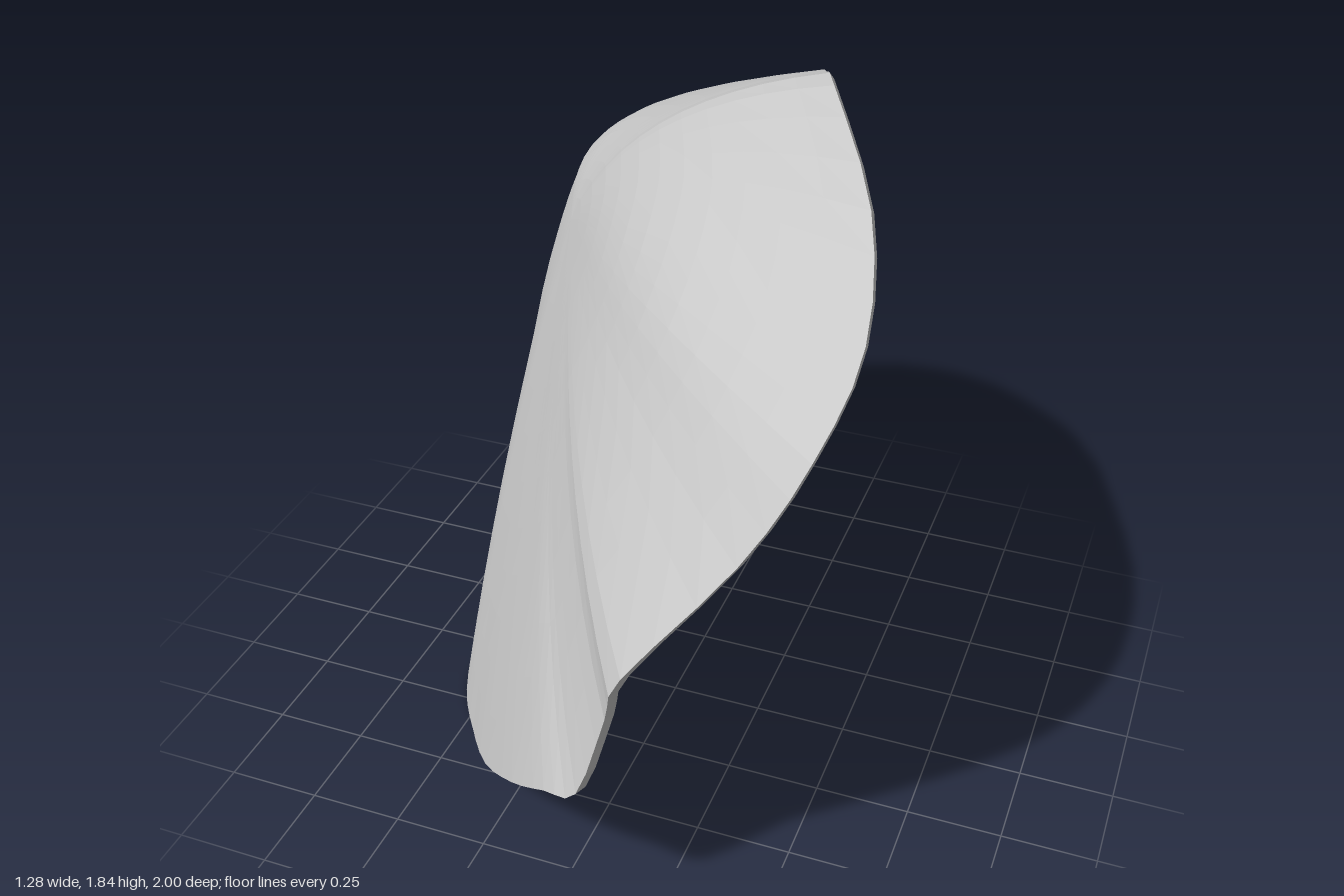
import * as THREE from 'three';

// Rim of the shell, clockwise from the top: x, y, z and how late the wall bends down to it
const RIM = [
  [0.35, 1.84, -0.12, 2.1], [0.56, 1.74, 0.30, 2.4], [0.64, 1.58, 0.60, 2.8],
  [0.60, 1.42, 0.82, 3.0], [0.48, 1.20, 0.92, 3.0], [0.25, 0.90, 1.00, 3.0],
  [0.20, 0.75, 0.975, 3.0], [0.13, 0.52, 0.99, 2.8], [0.02, 0.44, 0.93, 2.5],
  [-0.13, 0.30, 0.80, 2.2], [-0.31, 0.13, 0.60, 2.1], [-0.45, 0.04, 0.40, 2.1],
  [-0.56, 0.00, 0.22, 2.1], [-0.61, 0.07, 0.05, 2.1], [-0.635, 0.25, -0.15, 2.1],
  [-0.64, 0.58, -0.40, 2.1], [-0.64, 0.87, -0.60, 2.2], [-0.58, 1.12, -0.80, 2.4],
  [-0.47, 1.25, -0.95, 2.5], [-0.40, 1.31, -1.00, 2.5], [-0.20, 1.43, -0.95, 2.3],
  [0.00, 1.56, -0.80, 2.1], [0.20, 1.72, -0.50, 2.0], [0.28, 1.80, -0.30, 2.0],
];
const APEX = new THREE.Vector3(-0.42, 1.28, -0.31);
const OUTWARD = new THREE.Vector3(-0.74, 0.64, 0.2).normalize();
const INWARD = new THREE.Vector3(0.81, -0.466, -0.36).normalize();
const TILT = new THREE.Vector3(0.11, 0.1, -0.1); // slope of the wall at the apex
const THICKNESS = 0.03;
const AROUND = 72;
const RINGS = 12;

function buildShell() {
  const loop = (pts) => new THREE.CatmullRomCurve3(pts, true, 'catmullrom', 0.5);
  const rim = loop(RIM.map(([x, y, z]) => new THREE.Vector3(x, y, z)));
  const roundness = loop(RIM.map((p) => new THREE.Vector3(p[3], 0, 0)));

  // Rings run from the apex to the rim outside, then back to the apex inside
  const rings = [];
  for (let j = 0; j <= RINGS; j++) rings.push({ t: j / RINGS, inset: 0 });
  for (let j = RINGS; j >= 0; j--) rings.push({ t: (j / RINGS) * 0.985, inset: THICKNESS });

  const positions = [];
  for (const { t, inset } of rings) {
    for (let i = 0; i < AROUND; i++) {
      // Every spoke leaves the apex on one tangent plane and bends down to the rim
      const spoke = rim.getPoint(i / AROUND).sub(APEX);
      const bend = t - Math.pow(t, roundness.getPoint(i / AROUND).x);
      const drop = spoke.dot(INWARD) + spoke.dot(TILT);
      const p = APEX.clone().addScaledVector(spoke, t)
        .addScaledVector(OUTWARD, drop * bend)
        .addScaledVector(INWARD, inset);
      positions.push(p.x, p.y, p.z);
    }
  }

  const index = [];
  const last = rings.length - 2;
  for (let j = 0; j <= last; j++) {
    for (let i = 0; i < AROUND; i++) {
      const k = (i + 1) % AROUND;
      const a = j * AROUND + i, d = j * AROUND + k;
      const b = a + AROUND, c = d + AROUND;
      if (j < last) index.push(a, c, b);
      if (j > 0) index.push(a, d, c);
    }
  }

  const geometry = new THREE.BufferGeometry();
  geometry.setAttribute('position', new THREE.Float32BufferAttribute(positions, 3));
  geometry.setIndex(index);
  const flat = geometry.toNonIndexed();
  flat.computeVertexNormals();
  return flat;
}

export function createModel() {
  const group = new THREE.Group();
  group.name = 'curvedShell';
  const paleGrey = new THREE.MeshStandardMaterial({ color: 0xc8c8c8 });
  paleGrey.name = 'paleGrey';

  // Thin domed shell with a closed rim
  const shell = new THREE.Mesh(buildShell(), paleGrey);
  shell.name = 'shell';
  group.add(shell);
  return group;
}
